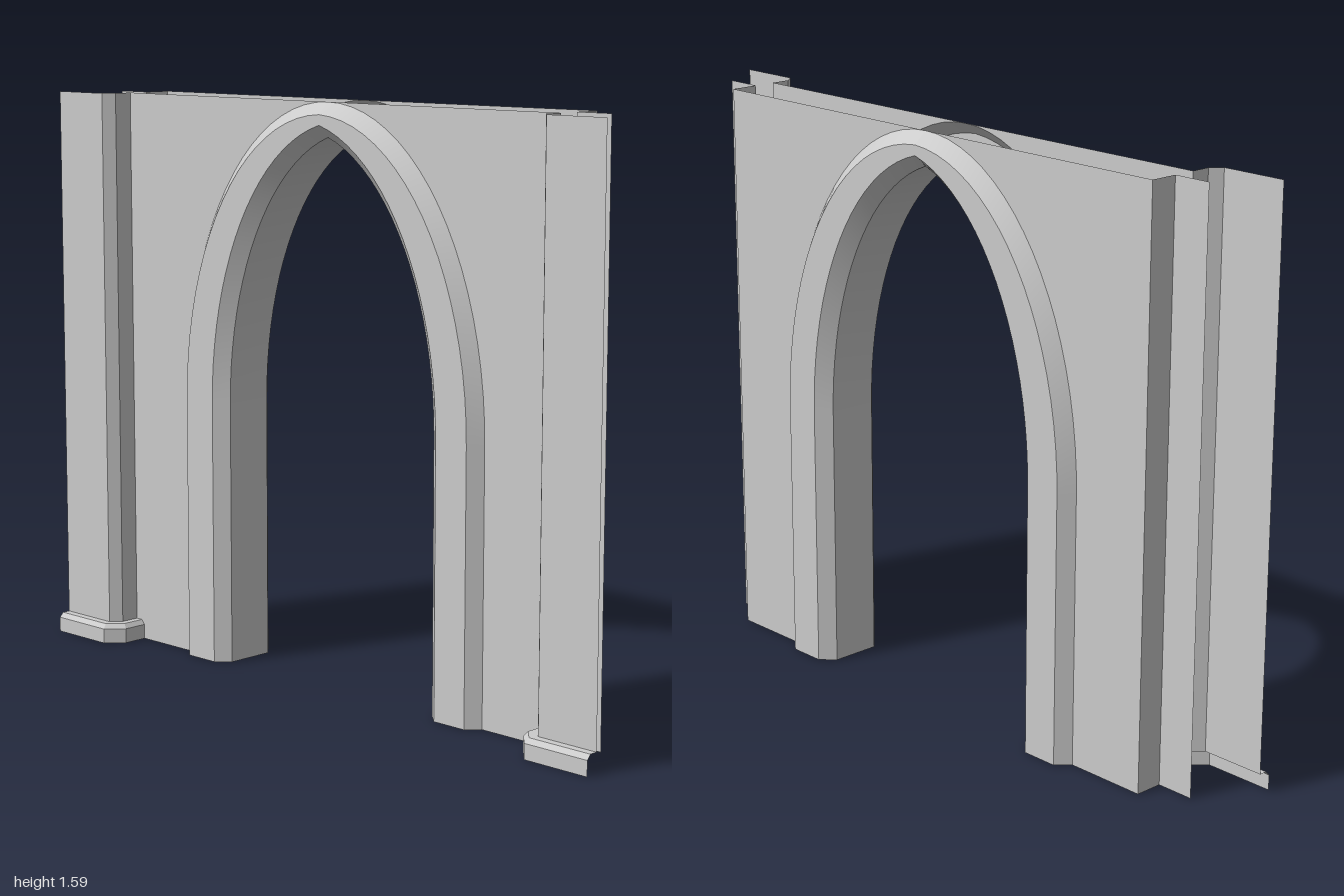
import * as THREE from 'three';

const H = 1.588; // wall height
const material = new THREE.MeshStandardMaterial({ color: 0xcccccc, side: THREE.DoubleSide });

// Strip of quads between two rails of [x, y, z] points, smooth along the rails
function ribbon(a, b) {
  const index = [];
  for (let i = 0; i < a.length - 1; i++) {
    const p = 2 * i;
    index.push(p, p + 1, p + 2, p + 2, p + 1, p + 3);
  }
  const g = new THREE.BufferGeometry();
  const pos = a.flatMap((p, i) => [...p, ...b[i]]);
  g.setAttribute('position', new THREE.Float32BufferAttribute(pos, 3));
  g.setIndex(index);
  g.computeVertexNormals();
  return g;
}

function add(group, name, geometry) {
  const mesh = new THREE.Mesh(geometry, material);
  mesh.name = name;
  group.add(mesh);
}

// Flat facets between two plan outlines ([x, z] points) at two heights
function facets(group, name, planA, yA, planB, yB) {
  const part = new THREE.Group();
  part.name = name;
  const at = (plan, y, i) => [plan[i][0], y, plan[i][1]];
  for (let i = 0; i < planA.length - 1; i++) {
    add(part, name + 'Face', ribbon(
      [at(planA, yA, i), at(planA, yA, i + 1)],
      [at(planB, yB, i), at(planB, yB, i + 1)]));
  }
  group.add(part);
}

// Half of an arch outline as [z, y]: straight leg, then a curve to the tip.
// k = 1 gives a round top, larger k a more pointed one.
function archCurve(w, top, k) {
  const spring = 0.74, R = w * k, n = 20;
  const end = Math.acos((R - w) / R);
  const pts = [[w, 0]];
  for (let i = 0; i <= n; i++) {
    const t = end * i / n;
    pts.push([R * Math.cos(t) - (R - w), spring + (top - spring) * Math.sin(t) / Math.sin(end)]);
  }
  return pts;
}

function createHalf() {
  const half = new THREE.Group();
  half.name = 'archwayHalf';

  const outer = archCurve(0.557, H, 1);
  const faceOuter = archCurve(0.525, 1.556, 1.03);
  const faceInner = archCurve(0.42, 1.528, 1.22);
  const soffit = archCurve(0.383, 1.495, 1.3);

  // Wall panels on both sides, cut out along the arch
  const outline = [[0.79, 0], [0.79, H], ...outer.slice().reverse()];
  for (const [name, x] of [['leftWallPanel', 0.11], ['rightWallPanel', -0.031]]) {
    const shape = new THREE.Shape(outline.map(([z, y]) => new THREE.Vector2(z, y)));
    const g = new THREE.ShapeGeometry(shape);
    g.rotateY(-Math.PI / 2);
    if (x > 0) { // turn the panel to face +x
      const idx = g.index.array;
      for (let i = 0; i < idx.length; i += 3) [idx[i], idx[i + 1]] = [idx[i + 1], idx[i]];
      g.computeVertexNormals();
    }
    g.translate(x, 0, 0);
    add(half, name, g);
  }

  // Arch trim: chamfered band on each side, joined by the soffit
  const rails = [
    [0.11, outer], [0.147, faceOuter], [0.147, faceInner], [0.11, soffit],
    [-0.031, soffit], [-0.065, faceInner], [-0.065, faceOuter], [-0.031, outer],
  ].map(([x, curve]) => curve.map(([z, y]) => [x, y, z]));
  const names = ['outerChamfer', 'trimFace', 'innerChamfer', 'archSoffit',
    'innerChamfer', 'trimFace', 'outerChamfer'];
  names.forEach((name, j) => add(half, name, ribbon(rails[j], rails[j + 1])));

  // Stepped return at the end of the wall
  const step = [[0.11, 0.79], [0.031, 0.79], [0.031, 0.897]];
  facets(half, 'endReturn', step, 0, step, H);

  // End pilaster with a chamfered corner, standing on a base moulding
  const pilaster = [[-0.115, 1], [-0.115, 0.815], [-0.086, 0.79], [-0.031, 0.79]];
  const lip = [[-0.138, 1], [-0.138, 0.805], [-0.098, 0.768], [-0.031, 0.768]];
  const base = [[-0.15, 1], [-0.15, 0.8], [-0.103, 0.757], [-0.031, 0.757]];
  facets(half, 'pilaster', pilaster, 0.055, pilaster, H);
  facets(half, 'baseMoulding', base, 0, base, 0.042);
  facets(half, 'baseMouldingChamfer', base, 0.042, lip, 0.055);
  facets(half, 'baseMouldingTop', lip, 0.055, pilaster, 0.055);
  return half;
}

export function createModel() {
  const model = new THREE.Group();
  model.name = 'archwayWall';
  const front = createHalf();
  const back = front.clone();
  back.scale.z = -1;
  front.name = 'frontHalf';
  back.name = 'backHalf';
  model.add(front, back);
  return model;
}
